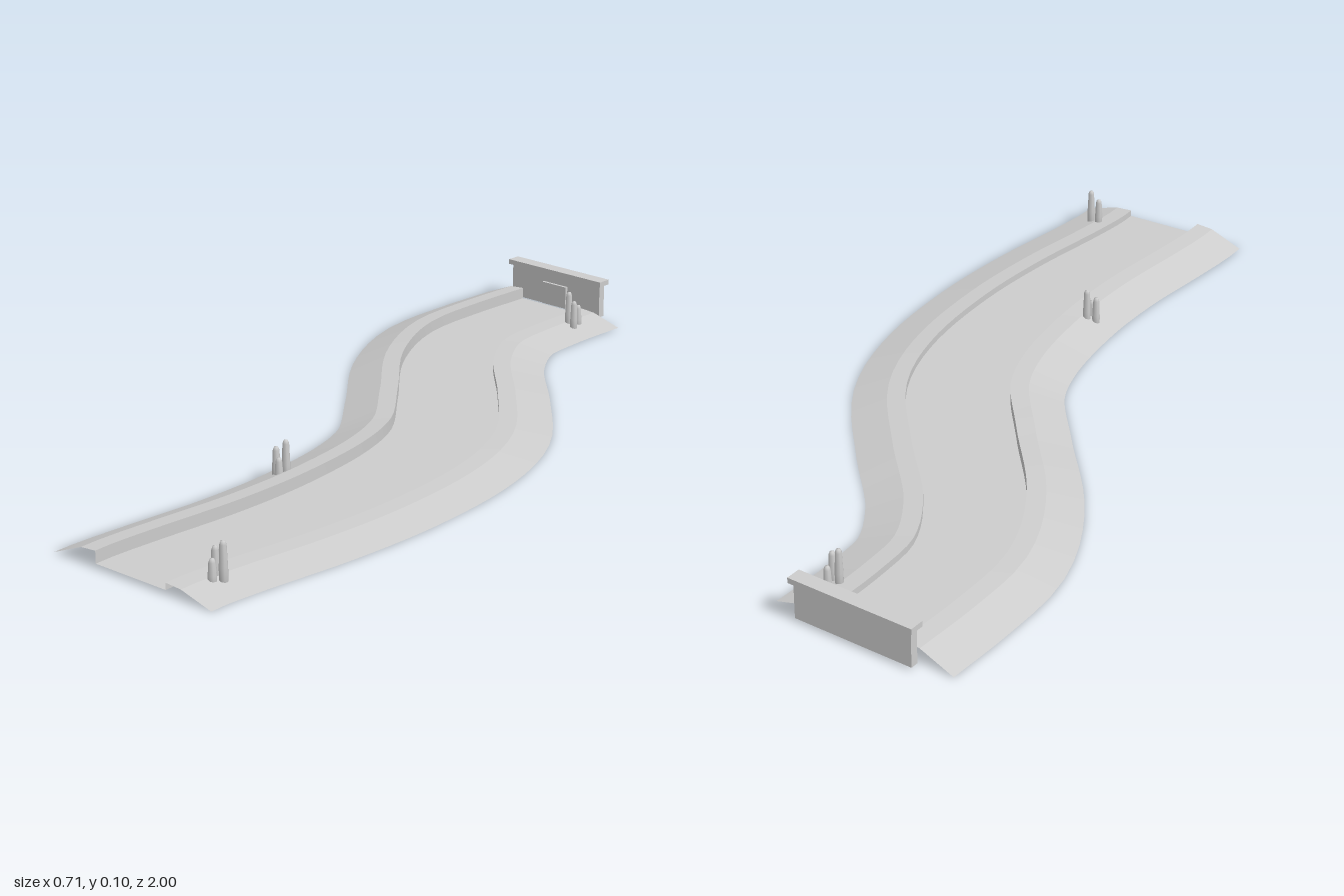
import * as THREE from 'three';

const grey = new THREE.MeshStandardMaterial({ color: 0xcccccc, side: THREE.DoubleSide });
grey.name = 'plain grey';

// Centre line of the stream, from the weir to the open end
const path = new THREE.CatmullRomCurve3([
  [-0.07, -0.925], [-0.115, -0.76], [-0.14, -0.6], [-0.1, -0.42], [0.01, -0.2], [0.1, 0],
  [0.12, 0.17], [0.095, 0.4], [0.045, 0.6], [-0.025, 0.8], [-0.059, 0.905], [-0.07, 0.955],
].map(([x, z]) => new THREE.Vector3(x, 0, z)));

const STEPS = 48;
const WATER_Y = 0.009;

// Sweeps a strip between two points [side, distance beyond the shore, height]
function strip(name, a, b) {
  const pos = [], idx = [];
  for (let i = 0; i <= STEPS; i++) {
    const t = i / STEPS;
    const p = path.getPointAt(t);
    const d = path.getTangentAt(t);
    const half = 0.094 + 0.02 * Math.sin(Math.PI * t) ** 2; // channel widens midway
    for (const [side, out, y] of [a, b]) {
      const w = side * (half + out);
      pos.push(p.x + d.z * w, y, p.z - d.x * w);
    }
    if (i < STEPS) {
      const k = i * 2;
      idx.push(k, k + 2, k + 1, k + 1, k + 2, k + 3);
    }
  }
  const g = new THREE.BufferGeometry();
  g.setAttribute('position', new THREE.Float32BufferAttribute(pos, 3));
  g.setIndex(idx);
  g.computeVertexNormals();
  const m = new THREE.Mesh(g, grey);
  m.name = name;
  return m;
}

// Bank: inner wall, gently sloping crest and outer slope
function bank(name, side, height) {
  const group = new THREE.Group();
  group.name = name;
  const profile = [[0, WATER_Y], [0, height], [0.04, height * 0.9], [0.118, 0]]
    .map(([out, y]) => [side, out, y]);
  ['innerWall', 'crest', 'outerSlope'].forEach((part, i) => {
    // keep the upward side as the front on both banks
    const [a, b] = side > 0 ? [profile[i], profile[i + 1]] : [profile[i + 1], profile[i]];
    group.add(strip(part, a, b));
  });
  return group;
}

function box(name, w, h, d, y, z) {
  const m = new THREE.Mesh(new THREE.BoxGeometry(w, h, d), grey);
  m.name = name;
  m.position.set(0, y, z);
  return m;
}

// Reed with a tapering stem and blunt tip
function reed(x, z, h) {
  const pts = [[0, 0], [0.0095, 0], [0.009, h * 0.45], [0.0072, h - 0.008], [0.0045, h - 0.001], [0, h]]
    .map(([r, y]) => new THREE.Vector2(r, y));
  const m = new THREE.Mesh(new THREE.LatheGeometry(pts, 8), grey);
  m.name = 'reed';
  m.position.set(x, 0, z);
  return m;
}

export function createModel() {
  const model = new THREE.Group();
  model.name = 'streamSection';

  // Water and banks
  model.add(strip('water', [-1, 0, WATER_Y], [1, 0, WATER_Y]));
  model.add(bank('leftBank', 1, 0.024), bank('rightBank', -1, 0.036));

  // Weir across the back end
  const weir = new THREE.Group();
  weir.name = 'weir';
  weir.add(box('weirWall', 0.277, 0.083, 0.018, 0.0485, 0));
  weir.add(box('weirCap', 0.292, 0.012, 0.034, 0.094, 0));
  weir.add(box('weirGate', 0.075, 0.055, 0.008, 0.0365, 0.012));
  weir.position.set(-0.063, 0, -0.945);
  weir.rotation.y = -0.26;
  model.add(weir);

  // Reed clusters: tall, middle and short stems
  const clusters = [
    [[0.035, -0.795], [0.054, -0.783], [0.053, -0.81]],
    [[-0.061, 0.392], [-0.082, 0.396], [-0.067, 0.411]],
    [[0.102, 0.9], [0.08, 0.893], [0.086, 0.914]],
  ];
  for (const stems of clusters) {
    const group = new THREE.Group();
    group.name = 'reedCluster';
    stems.forEach(([x, z], i) => group.add(reed(x, z, [0.097, 0.08, 0.063][i])));
    model.add(group);
  }
  return model;
}
